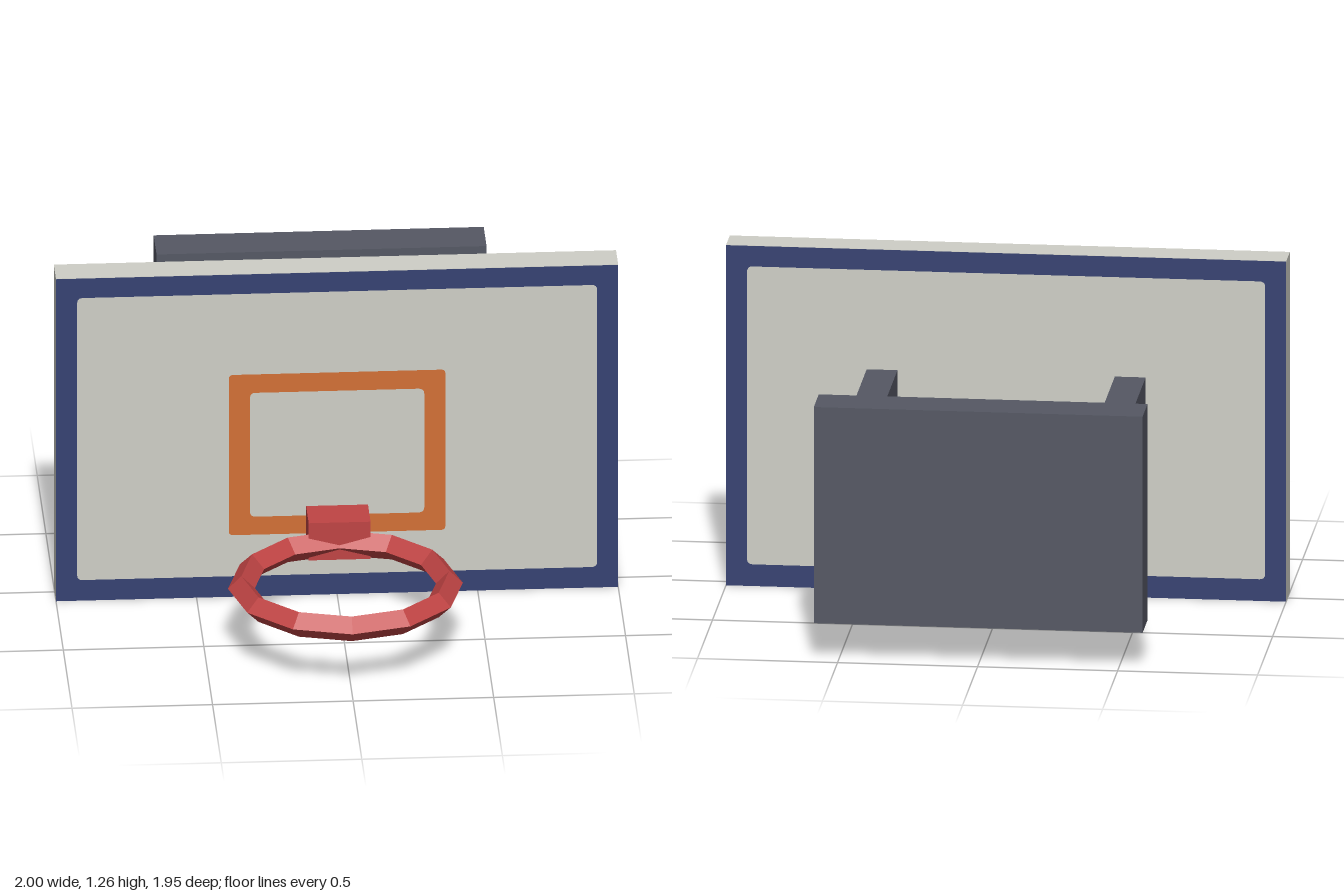
import * as THREE from 'three';

const material = (name, color) => {
  const m = new THREE.MeshStandardMaterial({ color, flatShading: true });
  m.name = name;
  return m;
};

// Adds a rounded rectangle to a shape or hole path
function roundedRect(path, x0, y0, x1, y1, r) {
  path.moveTo(x0 + r, y0);
  path.lineTo(x1 - r, y0);
  path.quadraticCurveTo(x1, y0, x1, y0 + r);
  path.lineTo(x1, y1 - r);
  path.quadraticCurveTo(x1, y1, x1 - r, y1);
  path.lineTo(x0 + r, y1);
  path.quadraticCurveTo(x0, y1, x0, y1 - r);
  path.lineTo(x0, y0 + r);
  path.quadraticCurveTo(x0, y0, x0 + r, y0);
  return path;
}

// Flat rectangular outline: outer and inner are [x0, y0, x1, y1, radius]
function outline(outer, inner) {
  const shape = roundedRect(new THREE.Shape(), ...outer);
  shape.holes.push(roundedRect(new THREE.Path(), ...inner));
  return new THREE.ShapeGeometry(shape, 4);
}

export function createModel() {
  const group = new THREE.Group();
  group.name = 'basketballHoop';

  const panel = material('panelGrey', 0xcfcfc7);
  const navy = material('borderNavy', 0x364272);
  const orange = material('targetOrange', 0xd27036);
  const red = material('hoopRed', 0xc04444);
  const steel = material('mountSlate', 0x555864);

  const add = (name, geometry, mat, x = 0, y = 0, z = 0) => {
    const mesh = new THREE.Mesh(geometry, mat);
    mesh.name = name;
    mesh.position.set(x, y, z);
    group.add(mesh);
    return mesh;
  };
  // Box given by its limits on each axis
  const box = (name, mat, [x0, x1], [y0, y1], [z0, z1]) =>
    add(name, new THREE.BoxGeometry(x1 - x0, y1 - y0, z1 - z0), mat,
      (x0 + x1) / 2, (y0 + y1) / 2, (z0 + z1) / 2);

  // Backboard with painted borders on both faces
  box('backboard', panel, [-1, 1], [0, 1.256], [-0.045, 0.078]);
  const border = outline([-1, 0, 1, 1.256, 0], [-0.925, 0.08, 0.925, 1.18, 0.02]);
  add('frontBorder', border, navy, 0, 0, 0.081);
  add('backBorder', border, navy, 0, 0, -0.048).rotation.y = Math.PI;

  // Shooting target
  add('targetSquare',
    outline([-0.385, 0.24, 0.385, 0.865, 0.015], [-0.31, 0.31, 0.31, 0.793, 0.02]),
    orange, 0, 0, 0.081);

  // Hoop and its bracket
  box('hoopBracket', red, [-0.11, 0.11], [0.2, 0.345], [0.078, 0.226]);
  add('hoopRing', new THREE.TorusGeometry(0.37, 0.048, 4, 12), red, 0, 0.248, 0.556)
    .rotation.x = Math.PI / 2;

  // Four support arms and the wall plate
  for (const side of [-1, 1]) {
    for (const y of [0.279, 0.758]) {
      add('supportArm', new THREE.BoxGeometry(0.11, 0.108, 0.78), steel,
        side * 0.443, y, -0.43);
    }
  }
  box('wallPlate', steel, [-0.587, 0.587], [0.137, 0.935], [-0.978, -0.813]);

  return group;
}
